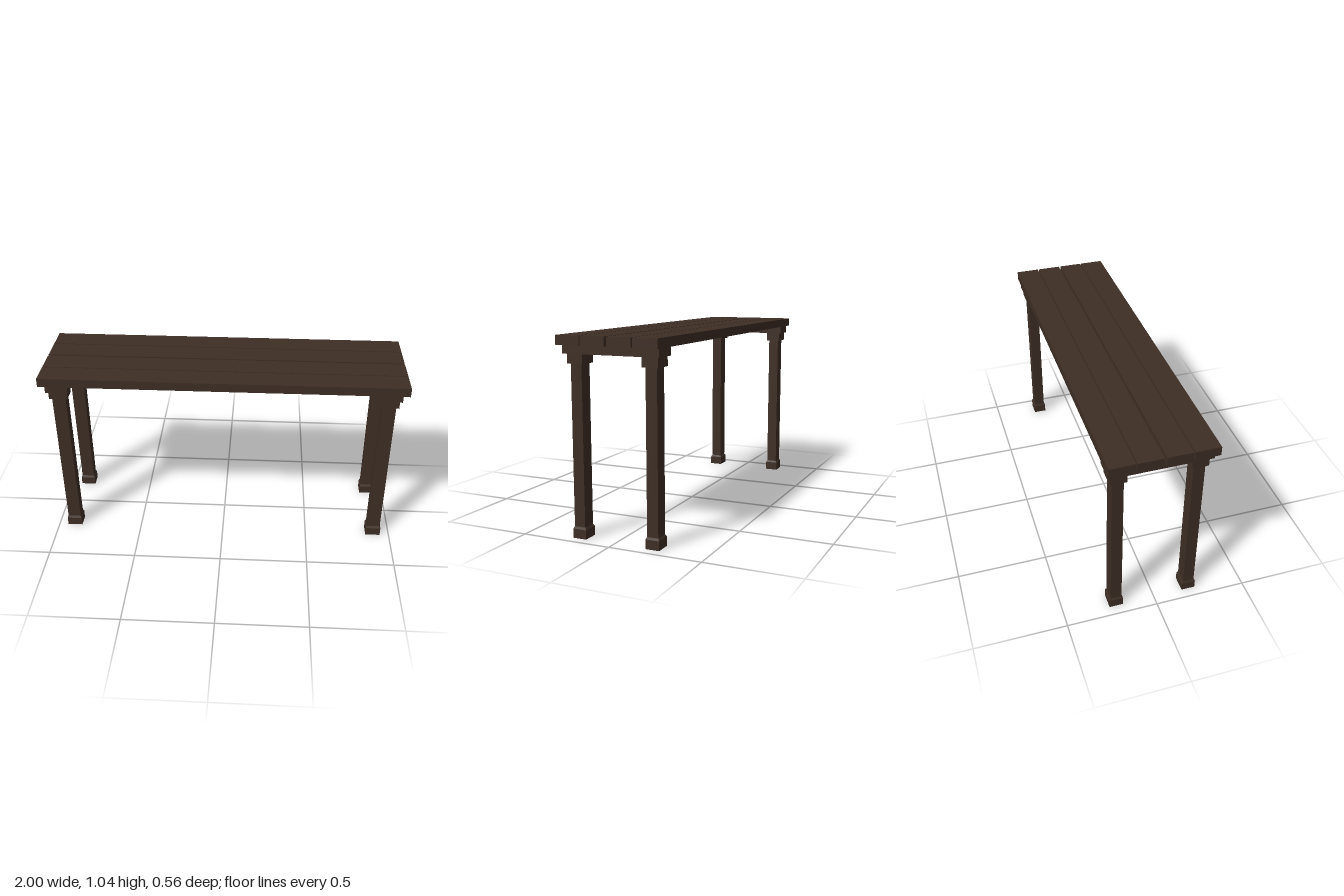
import * as THREE from 'three';

export function createModel() {
  const group = new THREE.Group();
  group.name = 'plankTable';
  const wood = new THREE.MeshStandardMaterial({ color: 0x3e2e25 });
  wood.name = 'dark wood';

  // Box given by its size, centre and bottom height; the top can be narrowed
  function block(parent, name, [w, h, d], [x, y, z], topW = w, topD = d) {
    const geo = new THREE.BoxGeometry(w, h, d);
    const p = geo.attributes.position;
    for (let i = 0; i < p.count; i++) {
      if (p.getY(i) > 0) p.setXYZ(i, p.getX(i) * topW / w, p.getY(i), p.getZ(i) * topD / d);
    }
    geo.computeVertexNormals();
    const mesh = new THREE.Mesh(geo, wood);
    mesh.name = name;
    mesh.position.set(x, y + h / 2, z);
    parent.add(mesh);
  }

  // Four long planks with narrow gaps
  for (const z of [0.212, 0.0725, -0.0725, -0.212]) {
    block(group, 'plank', [2, 0.049, 0.133], [0, 0.989, z]);
  }

  for (const side of [-1, 1]) {
    const x = side * 0.904;
    // Cross beam under the planks
    block(group, 'crossBeam', [0.124, 0.049, 0.533], [x, 0.945, -0.003]);

    // Legs with capital and bevelled foot
    for (const z of [0.2, -0.2145]) {
      const leg = new THREE.Group();
      leg.name = 'leg';
      leg.position.set(x, 0, z);
      block(leg, 'capital', [0.102, 0.05, 0.087], [0, 0.895, 0]);
      block(leg, 'post', [0.075, 0.835, 0.061], [0, 0.06, 0]);
      block(leg, 'footBevel', [0.086, 0.012, 0.075], [0, 0.049, 0], 0.075, 0.061);
      block(leg, 'foot', [0.086, 0.049, 0.075], [0, 0, 0]);
      group.add(leg);
    }
  }
  return group;
}
